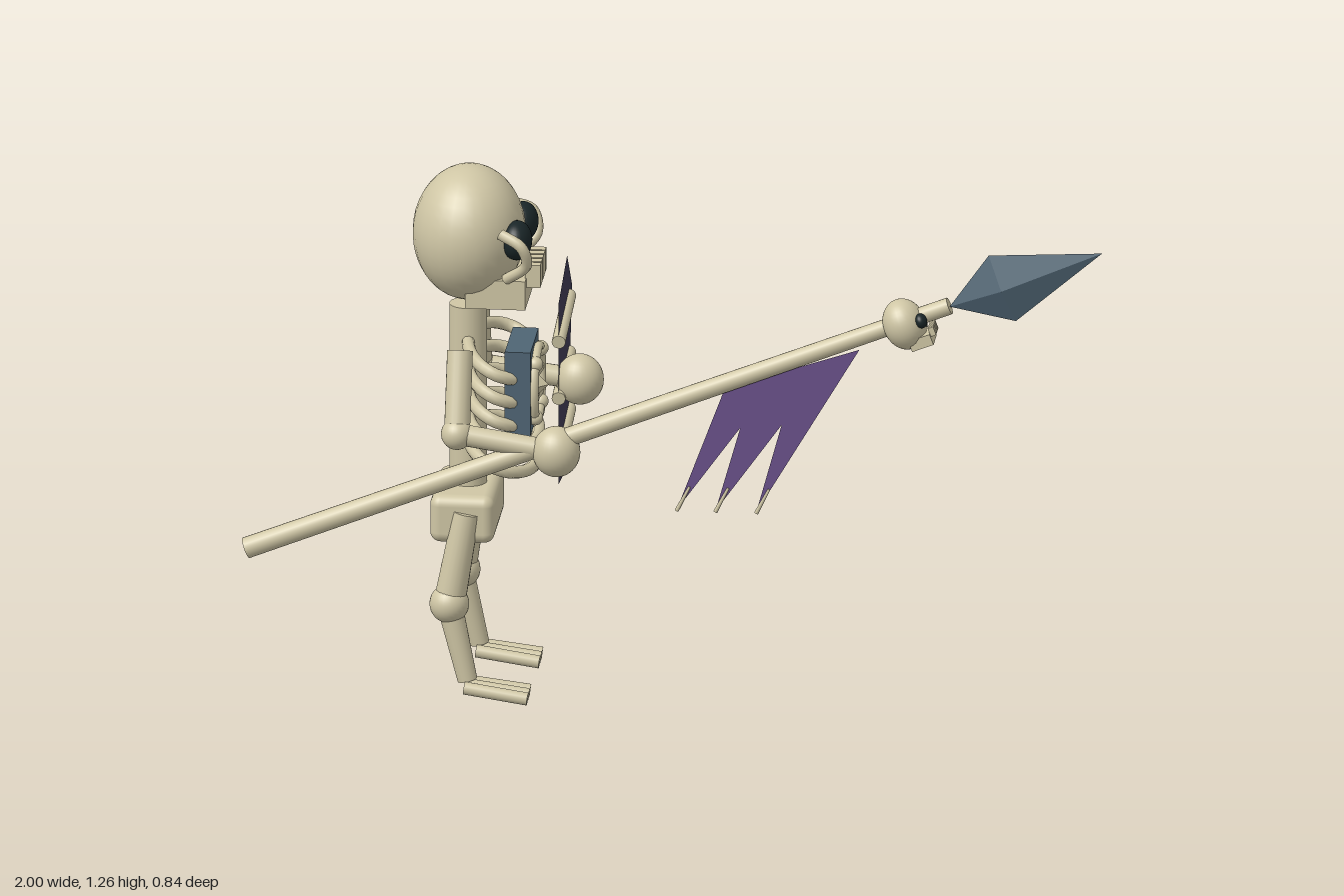
import * as THREE from 'three';
import { RoundedBoxGeometry } from 'three/addons/geometries/RoundedBoxGeometry.js';

const V = (x, y, z) => new THREE.Vector3(x, y, z);
const CZ = 0.105; // centre line of the body, which looks along +x

export function createModel() {
  const mat = (name, color, opts = {}) => {
    const m = new THREE.MeshStandardMaterial({ color, ...opts });
    m.name = name;
    return m;
  };
  const bone = mat('bone', 0xcfc6a5);
  const steel = mat('steel', 0x4f6574, { flatShading: true });
  const dark = mat('socket black', 0x1a2628);
  const hide = mat('shield hide', 0x3e3a52, { side: THREE.DoubleSide });
  const cloth = mat('banner cloth', 0x69508a, { side: THREE.DoubleSide });

  const root = new THREE.Group();
  root.name = 'skeletonWarrior';

  const add = (parent, name, geo, m, pos) => {
    const mesh = new THREE.Mesh(geo, m);
    mesh.name = name;
    if (pos) mesh.position.copy(pos);
    parent.add(mesh);
    return mesh;
  };
  const ball = (parent, name, pos, rx, ry = rx, rz = rx, m = bone) => {
    const mesh = add(parent, name, new THREE.SphereGeometry(1, 28, 20), m, pos);
    mesh.scale.set(rx, ry, rz);
    return mesh;
  };
  const box = (parent, name, pos, w, h, d, m = bone) =>
    add(parent, name, new THREE.BoxGeometry(w, h, d), m, pos);
  // Round bar from a to b with its own radius at each end
  const rod = (parent, name, a, b, ra, rb = ra, m = bone) => {
    const d = b.clone().sub(a);
    const mesh = add(parent, name, new THREE.CylinderGeometry(rb, ra, d.length(), 20), m,
      a.clone().add(b).multiplyScalar(0.5));
    mesh.quaternion.setFromUnitVectors(V(0, 1, 0), d.normalize());
    return mesh;
  };
  const tube = (parent, name, pts, r, closed = false) =>
    add(parent, name, new THREE.TubeGeometry(
      new THREE.CatmullRomCurve3(pts, closed), closed ? 56 : 20, r, 10, closed), bone);

  // Skull, reused small as a spear ornament
  const makeSkull = (name, cheeks) => {
    const g = new THREE.Group();
    g.name = name;
    ball(g, 'cranium', V(0, 0, 0), 0.131, 0.16, 0.146);
    box(g, 'jaw', V(0.07, -0.123, 0), 0.14, 0.07, 0.187);
    for (let i = -2; i <= 2; i++) {
      box(g, 'tooth', V(0.155, -0.083, i * 0.0285), 0.035, 0.055, 0.022);
    }
    const nose = add(g, 'nose', new THREE.ConeGeometry(0.023, 0.05, 3), dark, V(0.125, -0.043, 0));
    nose.rotation.x = Math.PI;
    for (const s of [-1, 1]) {
      ball(g, 'eyeSocket', V(0.118, 0.005, s * 0.07), 0.036, 0.046, 0.05, dark);
      if (cheeks) {
        tube(g, 'cheekbone', [V(0.085, 0.035, s * 0.12), V(0.135, 0.01, s * 0.137),
          V(0.145, -0.04, s * 0.118), V(0.095, -0.085, s * 0.088)], 0.013);
      }
    }
    root.add(g);
    return g;
  };
  makeSkull('skull', true).position.set(-0.5, 1.1, CZ);

  // Trunk
  rod(root, 'spine', V(-0.502, 0.45, CZ), V(-0.502, 0.925, CZ), 0.044);
  add(root, 'pelvis', new RoundedBoxGeometry(0.15, 0.115, 0.253, 4, 0.025), bone, V(-0.505, 0.433, CZ));
  for (let i = 0; i < 5; i++) {
    const pts = [];
    for (let k = 0; k < 16; k++) {
      const a = (k / 16) * Math.PI * 2;
      pts.push(V(-0.42 + 0.08 * Math.cos(a), 0.583 + i * 0.057 - 0.033 * Math.cos(a),
        CZ + 0.178 * Math.sin(a)));
    }
    tube(root, 'rib', pts, 0.015, true);
  }

  // Limbs, mirrored about the centre line
  for (const s of [-1, 1]) {
    const P = (x, y, o) => V(x, y, CZ + s * o);
    const hip = P(-0.495, 0.45, 0.112), knee = P(-0.533, 0.232, 0.127), ankle = P(-0.49, 0.05, 0.135);
    rod(root, 'thigh', hip, knee, 0.031, 0.037);
    ball(root, 'knee', knee, 0.046);
    rod(root, 'shin', knee, ankle, 0.03, 0.023);
    for (const t of [-1, 0, 1]) {
      rod(root, 'toe', P(-0.495, 0.038, 0.135 + t * 0.026), P(-0.347, 0.018, 0.135 + t * 0.032), 0.015);
    }
    const shoulder = P(-0.502, 0.87, 0.186), elbow = P(-0.502, 0.69, 0.255), hand = P(-0.27, 0.658, 0.264);
    rod(root, 'upperArm', shoulder, elbow, 0.03, 0.03);
    ball(root, 'elbow', elbow, 0.037);
    rod(root, 'forearm', elbow, hand, 0.025);
    ball(root, 'hand', hand, 0.056, 0.06, 0.052);
  }

  // Chest plate with a framed ornament
  box(root, 'chestPlate', V(-0.37, 0.762, 0.18), 0.06, 0.203, 0.183, steel);
  const frame = [];
  for (const [z, y] of [[0.06, 0.065], [0, 0.085], [-0.06, 0.065], [-0.085, 0],
    [-0.06, -0.065], [0, -0.085], [0.06, -0.065], [0.085, 0]]) {
    frame.push(V(-0.333, 0.76 + y, 0.178 + z));
    if (z && y) ball(root, 'frameKnob', V(-0.332, 0.76 + y, 0.178 + z), 0.018);
  }
  tube(root, 'plateFrame', frame, 0.011, true);
  box(root, 'ornamentTop', V(-0.337, 0.787, 0.178), 0.014, 0.012, 0.058);
  box(root, 'ornamentSide', V(-0.337, 0.757, 0.203), 0.014, 0.07, 0.012);
  box(root, 'ornamentBottom', V(-0.337, 0.723, 0.178), 0.014, 0.012, 0.058);
  add(root, 'ornamentDiamond', new THREE.OctahedronGeometry(0.033), bone, V(-0.34, 0.757, 0.18));

  // Shield: a flat hide with three struts
  const sheet = (pts) => {
    const shape = new THREE.Shape(pts.map(([x, y]) => new THREE.Vector2(x, y)));
    return new THREE.ShapeGeometry(shape);
  };
  const shield = add(root, 'shield', sheet(
    [[0.12, 0.855], [0.31, 0.908], [0.42, 0.8], [0.31, 0.39], [0.12, 0.413]]), hide, V(-0.315, 0, 0));
  shield.rotation.y = Math.PI / 2;
  for (const y of [0.76, 0.622, 0.484]) {
    rod(root, 'shieldStrut', V(-0.315, y, -0.117), V(-0.315, y + 0.035, -0.357), 0.016);
  }

  // Spear with a blade built from two four-sided cones
  const SZ = 0.367;
  rod(root, 'spearShaft', V(-0.992, 0.397, SZ), V(0.645, 1.045, SZ), 0.025, 0.02);
  const blade = new THREE.Group();
  blade.name = 'spearBlade';
  blade.position.set(0.645, 1.043, SZ);
  blade.rotation.z = Math.atan2(0.142, 0.355) - Math.PI / 2;
  root.add(blade);
  for (const [name, r0, r1, y0, y1] of [['bladeBase', 0.0, 1, 0, 0.132], ['bladePoint', 1, 0, 0.132, 0.382]]) {
    const part = add(blade, name, new THREE.CylinderGeometry(r1, r0, y1 - y0, 4, 1, true), steel,
      V(0, (y0 + y1) / 2, 0));
    part.scale.set(0.085, 1, 0.026);
  }
  const charm = makeSkull('spearSkull', false);
  charm.position.set(0.54, 0.997, SZ);
  charm.scale.setScalar(0.38);
  charm.rotation.z = 0.37;

  // Torn banner under the shaft, with bony tips
  add(root, 'banner', sheet([[0.122, 0.825], [0.01, 0.525], [0.158, 0.73], [0.1, 0.525],
    [0.254, 0.74], [0.195, 0.525], [0.435, 0.93]]), cloth, V(0, 0, SZ));
  for (const x of [0.01, 0.1, 0.195]) {
    rod(root, 'bannerTip', V(x + 0.03, 0.582, SZ), V(x, 0.523, SZ), 0.003, 0.005);
  }
  return root;
}
